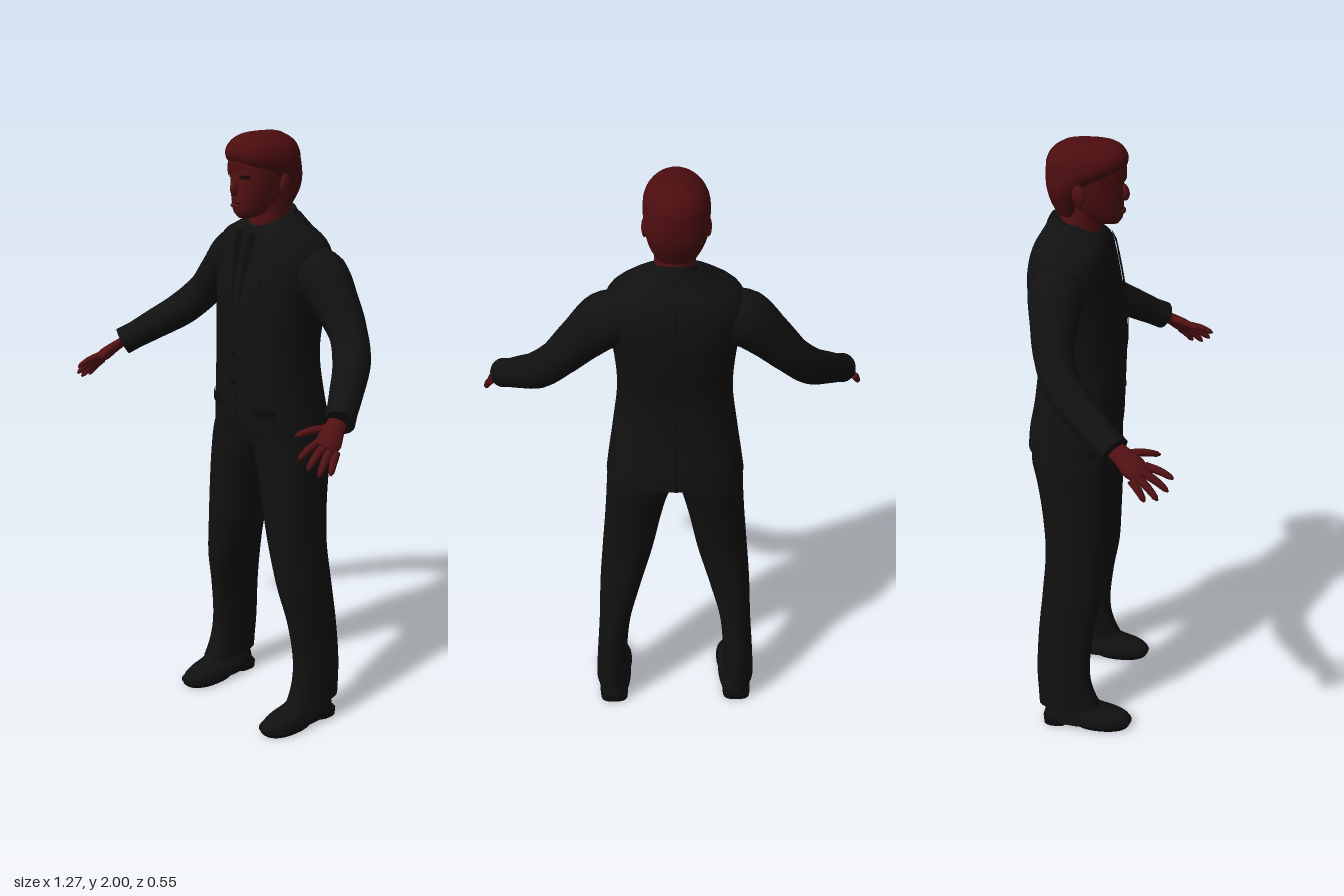
import * as THREE from 'three';

const mat = (name, color) => {
  const m = new THREE.MeshStandardMaterial({ color });
  m.name = name;
  return m;
};

// Smooth skin over a list of closed rings, with flat end caps
function skin(rings) {
  const n = rings[0].length;
  const centre = (r) => {
    const c = r.reduce((a, p) => a.add(p), new THREE.Vector3()).divideScalar(n);
    return r.map(() => c);
  };
  const first = rings[0], last = rings[rings.length - 1];
  const all = [centre(first), first, ...rings, last, centre(last)];
  const index = [];
  for (let i = 0; i < all.length - 1; i++) {
    for (let j = 0; j < n; j++) {
      const a = i * n + j, c = i * n + (j + 1) % n;
      index.push(a, a + n, c, c, a + n, c + n);
    }
  }
  const g = new THREE.BufferGeometry().setFromPoints(all.flat());
  g.setIndex(index);
  g.computeVertexNormals();
  return g;
}

// Body made from rows of [y, xMin, xMax, zBack, zFront]
function body(rows, e = 2) {
  const spline = new THREE.CubicInterpolant(
    rows.map((r) => r[0]), rows.flatMap((r) => r.slice(1)), 4, new Float32Array(4));
  const lo = rows[0][0], hi = rows[rows.length - 1][0];
  const at = (y) => {
    const [x0, x1, z0, z1] = spline.evaluate(THREE.MathUtils.clamp(y, lo, hi));
    return { cx: (x0 + x1) / 2, hw: (x1 - x0) / 2, cz: (z0 + z1) / 2, hz: (z1 - z0) / 2 };
  };
  const pow = (v) => Math.sign(v) * Math.abs(v) ** (2 / e);
  const geometry = (steps = 32, n = 36) => skin(Array.from({ length: steps + 1 }, (_, i) => {
    const y = lo + (hi - lo) * i / steps, s = at(y);
    return Array.from({ length: n }, (_, j) => {
      const a = j / n * Math.PI * 2;
      return new THREE.Vector3(s.cx + s.hw * pow(Math.cos(a)), y, s.cz + s.hz * pow(Math.sin(a)));
    });
  }));
  const surfaceZ = (x, y, side) => {
    const s = at(y), u = Math.min(0.99, Math.abs((x - s.cx) / s.hw));
    return s.cz + side * s.hz * (1 - u ** e) ** (1 / e);
  };
  return { geometry, surfaceZ };
}

// Thin sheet lying on a body, between two edges given as [y, xLeft, xRight] rows
function patch(on, rows, lift = 0.004, side = 1) {
  const pos = [], index = [], nx = 6, ny = 10, k = rows.length - 1;
  for (let i = 0; i <= ny; i++) {
    const t = i / ny * k, r = Math.min(Math.floor(t), k - 1);
    const [y, l, rt] = rows[r].map((v, q) => THREE.MathUtils.lerp(v, rows[r + 1][q], t - r));
    for (let j = 0; j <= nx; j++) {
      const f = j / nx, x = side > 0 ? l + (rt - l) * f : rt + (l - rt) * f;
      pos.push(x, y, on.surfaceZ(x, y, side) + side * lift);
      if (i < ny && j < nx) {
        const a = i * (nx + 1) + j, b = a + nx + 1;
        index.push(a, a + 1, b, a + 1, b + 1, b);
      }
    }
  }
  const g = new THREE.BufferGeometry();
  g.setAttribute('position', new THREE.Float32BufferAttribute(pos, 3));
  g.setIndex(index);
  g.computeVertexNormals();
  return g;
}

// Tapered limb along points [x, y, z, radius]
function limb(pts, s, ref = [0, 0.7, 0.7], flat = 1, steps = 20, n = 16) {
  const curve = new THREE.CatmullRomCurve3(pts.map((p) => new THREE.Vector3(p[0] * s, p[1], p[2])));
  const up = new THREE.Vector3(ref[0] * s, ref[1], ref[2]);
  const k = pts.length - 1;
  return skin(Array.from({ length: steps + 1 }, (_, i) => {
    const t = i / steps, q = Math.min(Math.floor(t * k), k - 1);
    const r = THREE.MathUtils.lerp(pts[q][3], pts[q + 1][3], t * k - q);
    const c = curve.getPoint(t), T = curve.getTangent(t);
    const U = up.clone().addScaledVector(T, -up.dot(T)).normalize(), V = T.clone().cross(U);
    return Array.from({ length: n }, (_, j) => {
      const a = j / n * Math.PI * 2;
      return c.clone().addScaledVector(U, r * Math.cos(a)).addScaledVector(V, -r * flat * Math.sin(a));
    });
  }));
}

export function createModel() {
  const model = new THREE.Group();
  const suit = mat('black suit', 0x111111), trim = mat('darker cloth', 0x0b0b0b);
  const skinRed = mat('dark red skin', 0x521113), hairRed = mat('dark red hair', 0x4c0d0f);
  const dark = mat('dark features', 0x1e0607);
  const add = (name, geo, m, parent = model) => {
    const mesh = new THREE.Mesh(geo, m);
    mesh.name = name;
    parent.add(mesh);
    return mesh;
  };

  // Jacket
  const jacket = body([
    [1.0, -0.222, 0.222, -0.272, 0.022], [1.05, -0.215, 0.215, -0.268, 0.03],
    [1.15, -0.2, 0.2, -0.25, 0.035], [1.3, -0.182, 0.182, -0.238, 0.04],
    [1.45, -0.19, 0.19, -0.258, 0.035], [1.55, -0.208, 0.208, -0.265, 0.018],
    [1.62, -0.215, 0.215, -0.258, 0.003], [1.67, -0.185, 0.185, -0.243, -0.008],
    [1.7, -0.13, 0.13, -0.225, -0.025], [1.74, -0.075, 0.075, -0.2, -0.09]], 2.5);
  add('jacket', jacket.geometry(48, 48), suit);
  add('shirtFront', patch(jacket, [[1.32, -0.004, 0.004], [1.69, -0.055, 0.055]], 0.003), trim);
  add('tie', patch(jacket, [[1.33, -0.003, 0.003], [1.38, -0.018, 0.018], [1.66, -0.01, 0.01], [1.69, -0.018, 0.018]], 0.007), suit);
  add('jacketSeam', patch(jacket, [[1.0, -0.002, 0.002], [1.32, -0.002, 0.002]], 0.003), trim);
  add('backVent', patch(jacket, [[1.0, -0.006, 0.006], [1.17, -0.001, 0.001]], 0.003, -1), trim);
  add('backSeam', patch(jacket, [[1.17, -0.0015, 0.0015], [1.68, -0.0015, 0.0015]], 0.002, -1), trim);
  for (const y of [1.2, 1.3]) {
    const button = add('button', new THREE.CylinderGeometry(0.009, 0.009, 0.006, 14), trim);
    button.rotation.x = Math.PI / 2;
    button.position.set(-0.012, y, 0.042);
  }

  // Shirt collar, dipping toward the throat
  const collar = body([[1.7, -0.1, 0.1, -0.215, -0.005], [1.735, -0.085, 0.085, -0.205, -0.015],
    [1.762, -0.073, 0.073, -0.192, -0.026]]).geometry(8);
  const cp = collar.attributes.position;
  for (let i = 0; i < cp.count; i++) cp.setY(i, cp.getY(i) - (cp.getZ(i) + 0.19) * 0.36);
  collar.computeVertexNormals();
  add('collar', collar, suit);

  // Neck and head
  add('neck', body([[1.64, -0.066, 0.066, -0.172, -0.036], [1.74, -0.062, 0.062, -0.168, -0.036],
    [1.83, -0.064, 0.064, -0.17, -0.03]]).geometry(8, 28), skinRed);
  const head = body([[1.738, -0.026, 0.022, -0.05, 0.018], [1.755, -0.048, 0.042, -0.09, 0.03],
    [1.79, -0.067, 0.06, -0.15, 0.034], [1.83, -0.079, 0.071, -0.18, 0.035],
    [1.87, -0.087, 0.078, -0.195, 0.034], [1.91, -0.09, 0.08, -0.198, 0.034],
    [1.95, -0.08, 0.07, -0.185, 0.02], [1.985, -0.04, 0.03, -0.12, -0.03]], 2.1);
  add('head', head.geometry(32), skinRed);

  // Hair cap and swept fringe
  const hair = body([[1.765, -0.06, 0.055, -0.172, -0.09], [1.81, -0.083, 0.076, -0.193, -0.085],
    [1.85, -0.097, 0.088, -0.204, -0.06], [1.885, -0.103, 0.093, -0.207, -0.01],
    [1.91, -0.105, 0.094, -0.206, 0.034], [1.94, -0.101, 0.09, -0.202, 0.048],
    [1.97, -0.083, 0.073, -0.183, 0.036], [1.988, -0.058, 0.048, -0.155, 0.014],
    [1.997, -0.035, 0.025, -0.13, -0.015], [2.0, -0.012, 0.004, -0.1, -0.05]], 2.15);
  add('hair', hair.geometry(60, 40), hairRed);
  add('fringe', patch(head, [[1.855, -0.08, -0.07], [1.875, -0.083, -0.025], [1.895, -0.085, 0.03],
    [1.925, -0.082, 0.072]], 0.009), hairRed);

  // Face
  const nose = add('nose', new THREE.SphereGeometry(1, 16, 12), skinRed);
  nose.scale.set(0.013, 0.028, 0.018);
  nose.position.set(-0.004, 1.837, 0.034);
  nose.rotation.x = -0.25;
  add('mouth', patch(head, [[1.784, -0.022, 0.015], [1.789, -0.026, 0.019]], 0.003), dark);
  const lips = add('lips', new THREE.SphereGeometry(1, 16, 10), skinRed);
  lips.scale.set(0.022, 0.008, 0.007);
  lips.position.set(-0.004, 1.778, 0.034);
  for (const s of [1, -1]) {
    const x = -0.004 + s * 0.037;
    add('eye', patch(head, [[1.864, x - 0.008, x + 0.008], [1.87, x - 0.017, x + 0.017],
      [1.876, x - 0.01, x + 0.01]], 0.003), dark);
    const ear = add('ear', new THREE.SphereGeometry(1, 14, 12), skinRed);
    ear.scale.set(0.01, 0.033, 0.02);
    ear.position.set(-0.005 + s * 0.094, 1.845, -0.09);
    ear.rotation.x = -0.15;
  }

  for (const s of [1, -1]) {
    const side = new THREE.Group();
    side.name = s > 0 ? 'leftSide' : 'rightSide';
    model.add(side);
    const put = (name, geo, m) => add(name, geo, m, side);
    const mirror = (rows) => rows.map(([y, a, b, ...z]) => [y, s > 0 ? a : -b, s > 0 ? b : -a, ...z]);
    const strip = (rows) => rows.map(([y, a, b]) => (s > 0 ? [y, a, b] : [y, -b, -a]));

    // Lapel and pocket flap
    put('lapel', patch(jacket, strip([[1.32, 0.002, 0.008], [1.56, 0.032, 0.1], [1.58, 0.034, 0.085],
      [1.6, 0.036, 0.1], [1.69, 0.05, 0.085]]), 0.008), suit);
    put('lapelEdge', patch(jacket, strip([[1.32, 0.006, 0.011], [1.56, 0.099, 0.104]]), 0.006), trim);
    put('pocketFlap', patch(jacket, strip([[1.1, 0.08, 0.16], [1.135, 0.08, 0.16]]), 0.006), trim);

    // Sleeve
    put('sleeve', limb([[0.13, 1.575, -0.14, 0.082], [0.21, 1.56, -0.14, 0.09], [0.28, 1.5, -0.135, 0.074],
      [0.36, 1.415, -0.12, 0.06], [0.425, 1.345, -0.075, 0.059], [0.49, 1.285, 0.005, 0.052],
      [0.53, 1.248, 0.058, 0.047], [0.556, 1.225, 0.094, 0.048]], s, undefined, 1, 40, 24), suit);

    // Hand
    const spread = [0.04, -0.03, -0.04];
    put('palm', limb([[0.545, 1.235, 0.08, 0.027], [0.562, 1.212, 0.118, 0.032],
      [0.578, 1.187, 0.152, 0.039], [0.588, 1.17, 0.178, 0.033]], s, spread, 0.5), skinRed);
    const fingers = [
      ['indexFinger', [0.566, 1.188, 0.185], [0.577, 1.158, 0.27]],
      ['middleFinger', [0.581, 1.176, 0.178], [0.602, 1.128, 0.258]],
      ['ringFinger', [0.595, 1.165, 0.166], [0.62, 1.106, 0.23]],
      ['littleFinger', [0.605, 1.158, 0.15], [0.63, 1.104, 0.193]],
      ['thumb', [0.547, 1.215, 0.13], [0.505, 1.198, 0.222]]];
    for (const [name, a, b] of fingers) {
      const mid = (t, lift) => a.map((v, i) => v + (b[i] - v) * t + (i === 1 ? lift : 0));
      put(name, limb([[...a, 0.013], [...mid(0.5, 0.005), 0.012], [...mid(0.88, 0.002), 0.009],
        [...b, 0.003]], s, [0.3, 0.7, 0.6], 1, 12, 10), skinRed);
    }

    // Trouser leg
    put('trouserLeg', body(mirror([
      [0.078, 0.174, 0.281, -0.22, -0.008], [0.12, 0.174, 0.279, -0.222, -0.028],
      [0.2, 0.171, 0.274, -0.226, -0.045], [0.36, 0.155, 0.263, -0.22, -0.032],
      [0.5, 0.118, 0.257, -0.208, -0.007], [0.65, 0.076, 0.245, -0.2, 0.004],
      [0.8, 0.045, 0.232, -0.214, 0.012], [0.9, 0.021, 0.225, -0.232, 0.015],
      [0.98, -0.004, 0.219, -0.25, 0.015], [1.08, -0.002, 0.18, -0.235, 0.015]]), 2.3).geometry(40, 30), suit);

    // Shoe with sole and heel
    put('shoe', body(mirror([[0.014, 0.16, 0.278, -0.204, 0.095], [0.032, 0.161, 0.277, -0.204, 0.094],
      [0.05, 0.167, 0.273, -0.202, 0.07], [0.068, 0.177, 0.267, -0.198, 0.018],
      [0.1, 0.185, 0.26, -0.19, -0.04]]), 2.3).geometry(16, 32), suit);
    put('sole', body(mirror([[0.003, 0.16, 0.278, -0.1, 0.092], [0.018, 0.156, 0.281, -0.11, 0.1]]), 2.3)
      .geometry(2, 32), trim);
    put('heel', body(mirror([[0, 0.172, 0.268, -0.205, -0.12], [0.025, 0.17, 0.27, -0.207, -0.115]]), 3)
      .geometry(2, 24), trim);
  }
  return model;
}
